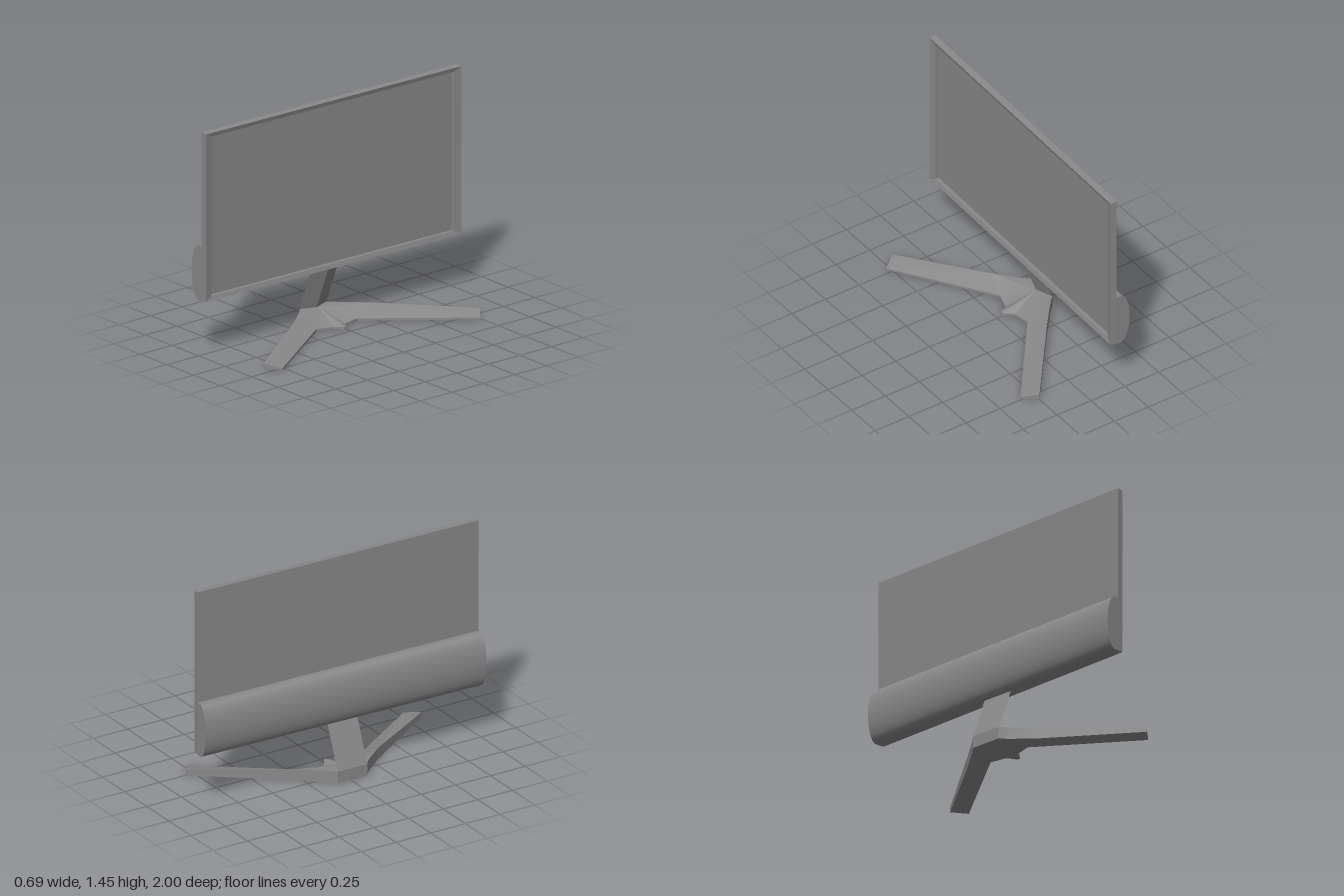
import * as THREE from 'three';
import { toCreasedNormals } from 'three/addons/utils/BufferGeometryUtils.js';

const grey = new THREE.MeshStandardMaterial({ color: 0x888888 });

function part(name, geometry) {
  const mesh = new THREE.Mesh(geometry, grey);
  mesh.name = name;
  return mesh;
}

function facets(triangles) {
  const g = new THREE.BufferGeometry();
  g.setAttribute('position', new THREE.Float32BufferAttribute(triangles.flat(2), 3));
  g.computeVertexNormals();
  return g;
}

// Joins rings of equal point count and caps both ends
function loft(rings) {
  const tris = [];
  const n = rings[0].length;
  for (let i = 0; i < rings.length - 1; i++) {
    for (let j = 0; j < n; j++) {
      const k = (j + 1) % n;
      const [a, b, c, d] = [rings[i][j], rings[i][k], rings[i + 1][k], rings[i + 1][j]];
      tris.push([a, b, c], [a, c, d]);
    }
  }
  const first = rings[0], last = rings[rings.length - 1];
  for (let j = 1; j < n - 1; j++) {
    tris.push([last[0], last[j], last[j + 1]], [first[0], first[j + 1], first[j]]);
  }
  return facets(tris);
}

// Upright rectangle at depth x, inset from the panel outline
function panelRing(x, insetZ, insetY) {
  const z = 0.998 - insetZ, lo = 0.357 + insetY, hi = 1.445 - insetY;
  return [[x, lo, z], [x, lo, -z], [x, hi, -z], [x, hi, z]];
}

function createBase() {
  // Outline as [x, z, top height]
  const outline = [
    [-0.345, -0.09, 0.078], [-0.345, 0.12, 0.078], [-0.304, 0.153, 0.078],
    [-0.177, 0.307, 0.074], [0.185, 0.85, 0.035], [0.28, 0.78, 0.012], [-0.13, 0.165, 0.016],
    [-0.10, 0.055, 0.012], [-0.04, 0.02, 0.02], [-0.04, 0.002, 0.02], [-0.10, -0.035, 0.012],
    [-0.12, -0.148, 0.016], [0.342, -0.74, 0.012], [0.25, -0.81, 0.035], [-0.16, -0.30, 0.074],
    [-0.304, -0.13, 0.078],
  ];
  const top = outline.map(([x, z, y]) => [x, y, z]);
  const bottom = outline.map(([x, z]) => [x, 0, z]);
  const tris = [];
  const cover = (a, b, c) => tris.push([a, b, c], [c, b, a].map(([x, , z]) => [x, 0, z]));

  // Hub fans out from the foot of the neck
  const centre = [-0.29, 0.078, 0.012];
  const hub = top.filter((p, i) => ![4, 5, 12, 13].includes(i));
  hub.forEach((p, i) => cover(centre, p, hub[(i + 1) % hub.length]));
  // Two legs, each split from outer root to inner tip
  cover(top[3], top[4], top[5]);
  cover(top[3], top[5], top[6]);
  cover(top[14], top[11], top[12]);
  cover(top[14], top[12], top[13]);
  // Side walls
  top.forEach((p, i) => {
    const k = (i + 1) % top.length;
    tris.push([bottom[i], bottom[k], top[k]], [bottom[i], top[k], p]);
  });
  return part('base', toCreasedNormals(facets(tris), 0.35));
}

export function createModel() {
  const model = new THREE.Group();
  model.name = 'monitor';

  // Display, turned slightly on its stand
  const display = new THREE.Group();
  display.name = 'display';
  display.rotation.y = -0.021;
  model.add(display);

  // Panel with sloped bezel and sunken screen
  display.add(part('panel', loft([
    panelRing(-0.209, 0, 0),
    panelRing(-0.167, 0.002, 0.004),
    panelRing(-0.175, 0.051, 0.031),
    panelRing(-0.199, 0.051, 0.031),
  ])));

  // Rounded housing along the lower back
  const profile = new THREE.Shape();
  profile.moveTo(-0.208, 0.357);
  profile.lineTo(-0.208, 0.707);
  profile.lineTo(-0.238, 0.707);
  profile.absellipse(-0.238, 0.532, 0.066, 0.175, Math.PI / 2, Math.PI * 1.5, false);
  const housing = new THREE.ExtrudeGeometry(profile, { depth: 1.996, bevelEnabled: false, curveSegments: 32 });
  housing.translate(0, 0, -0.998);
  display.add(part('backHousing', toCreasedNormals(housing, 0.6)));

  // Leaning neck, flat behind and ridged in front
  const neckRing = (x, y, z) => [
    [x, y, z - 0.107], [x, y, z + 0.107], [x + 0.042, y, z + 0.005],
  ];
  model.add(part('neck', loft([neckRing(-0.345, 0.07, 0.016), neckRing(-0.23, 0.366, 0.011)])));

  model.add(createBase());
  return model;
}
